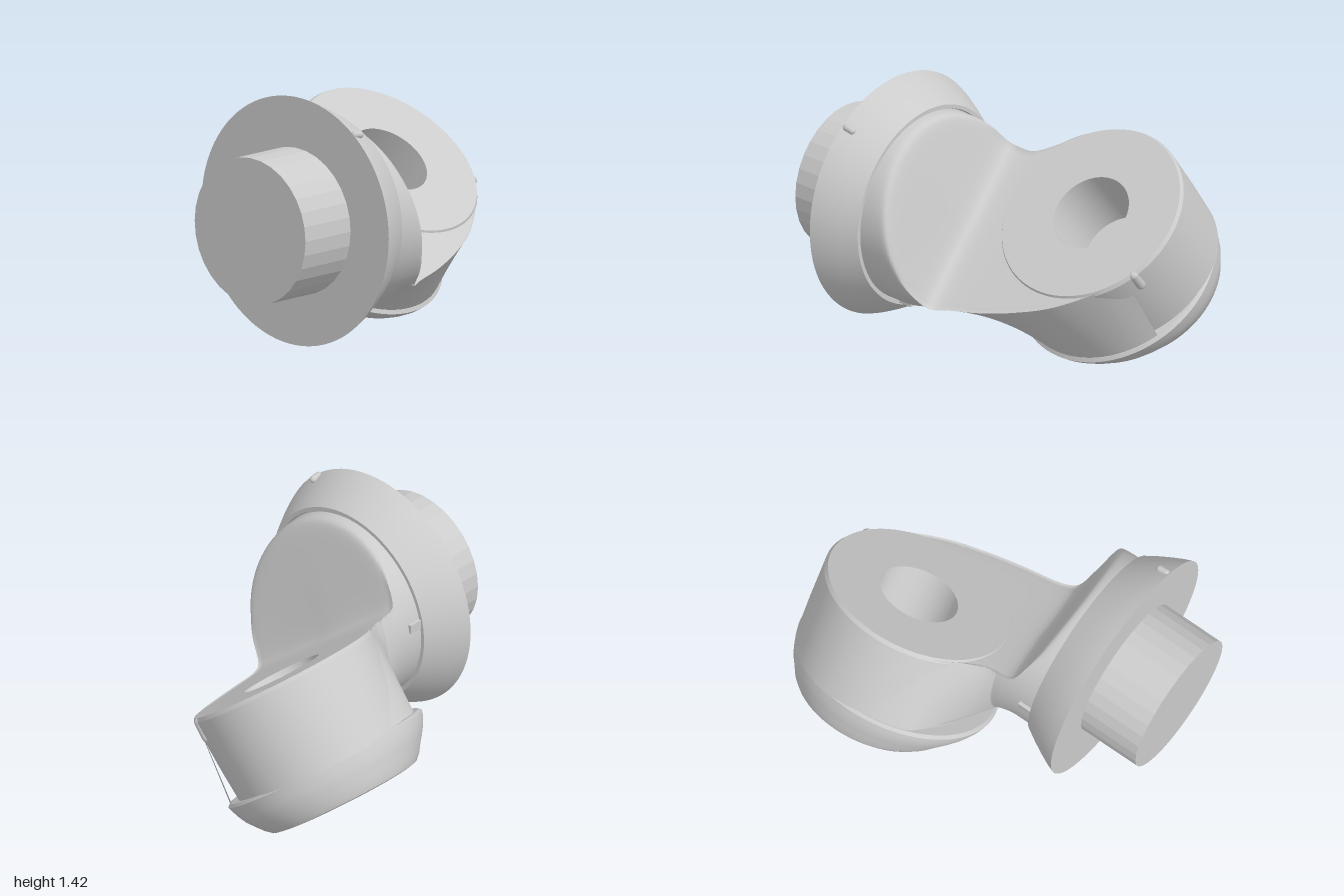
import * as THREE from 'three';
import { toCreasedNormals } from 'three/addons/utils/BufferGeometryUtils.js';

const grey = new THREE.MeshStandardMaterial({ color: 0xcccccc });
const facetGrey = new THREE.MeshStandardMaterial({ color: 0xcccccc, flatShading: true });
const TILT = 0.663;                            // lean of the eye about the x axis
const EYE = { x: 0.462, v: -0.614 };           // eye centre in the tilted frame
const PLUG = { v: -0.285, w: 0.722, r: 0.53 }; // socket axis in the tilted frame
const CAP = { x: 0.41, v: -0.552, r: 0.56 };   // top circle of the cap
const { lerp, smoothstep, clamp } = THREE.MathUtils;

function add(parent, name, geometry, material = grey) {
  const mesh = new THREE.Mesh(geometry, material);
  mesh.name = name;
  parent.add(mesh);
  return mesh;
}

// Skin closed rings: point(i, angle) returns [x, y, z]
function loft(rows, sides, point, crease) {
  const pos = [], index = [];
  for (let i = 0; i < rows; i++) {
    for (let j = 0; j < sides; j++) {
      pos.push(...point(i, (j / sides) * Math.PI * 2));
      if (i === rows - 1) continue;
      const a = i * sides + j, c = i * sides + (j + 1) % sides;
      index.push(a, a + sides, c, c, a + sides, c + sides);
    }
  }
  const g = new THREE.BufferGeometry();
  g.setAttribute('position', new THREE.Float32BufferAttribute(pos, 3));
  g.setIndex(index);
  return toCreasedNormals(g, crease);
}

function lathe(points, sides = 96) {
  const pts = points.map(([r, y]) => new THREE.Vector2(r, y));
  return toCreasedNormals(new THREE.LatheGeometry(pts, sides), 0.5);
}

// Smooth interpolation through [x, value] keys
function curve(keys, x) {
  const slope = (i) => {
    const a = keys[Math.max(i - 1, 0)], b = keys[Math.min(i + 1, keys.length - 1)];
    return (b[1] - a[1]) / (b[0] - a[0]);
  };
  let i = 0;
  while (i < keys.length - 2 && x > keys[i + 1][0]) i++;
  const [x0, y0] = keys[i], [x1, y1] = keys[i + 1];
  const d = x1 - x0, t = clamp((x - x0) / d, 0, 1), t2 = t * t, t3 = t2 * t;
  return y0 * (2 * t3 - 3 * t2 + 1) + y1 * (3 * t2 - 2 * t3)
    + d * (slope(i) * (t3 - 2 * t2 + t) + slope(i + 1) * (t3 - t2));
}

const smoothMax = (a, b, e) => 0.5 * (a + b + Math.hypot(a - b, e));
const smoothMin = (a, b, e) => 0.5 * (a + b - Math.hypot(a - b, e));

// Neck: round socket plug, cut by a slanted wall, flowing into the flat eye
const FRONT = [[-0.42, 0.245], [-0.2, 0.245], [-0.1, 0.235], [0, 0.195], [0.2, 0.14],
  [0.4, 0.065], [0.6, -0.04], [0.8, -0.21], [0.9, -0.335]];
const BACK = [[-0.42, -0.815], [-0.2, -0.815], [-0.1, -0.825], [0, -0.9], [0.1, -1.0],
  [0.2, -1.06], [0.4, -1.12], [0.6, -1.1], [0.8, -0.99], [0.9, -0.88]];

// Underside of the eye: straight sides tapering from the outline to the cap circle
function taperedSide(x, f, b, u) {
  const half = Math.sqrt(Math.max(0, CAP.r ** 2 - (x - CAP.x) ** 2));
  const front = CAP.v + half, back = CAP.v - half;
  if (u > 0.4 && u < 0.6) return [lerp(back, front, (u - 0.4) / 0.2), 0.1];
  const q = Math.min(u, 1 - u) / 0.4;
  return [u < 0.5 ? lerp(b, back, q) : lerp(f, front, q), lerp(0.6, 0.1, q)];
}

function neckGeometry() {
  const fine = 100, coarse = 50;   // closely spaced rows across the wall
  return loft(fine + coarse, 112, (i, t) => {
    const x = i < fine ? -0.42 + 0.37 * i / fine : -0.05 + 0.95 * (i - fine) / (coarse - 1);
    const f = curve(FRONT, x), b = curve(BACK, x);
    const k = smoothstep(x, -0.32, 0.12);
    const s = Math.sin(t), c = Math.cos(t), p = 1 - 0.5 * k;
    // slanted wall blended into the flat saddle; hollow beneath the eye
    const wall = (4 * (-0.03 - x) + 0.615 * ((f + b) / 2 + (f - b) / 2 * c)) / 0.788;
    let limit = smoothMax(0.597, wall, 0.14);
    let v = (f + b) / 2 + (f - b) / 2 * Math.sign(c) * Math.abs(c) ** p;
    let w = PLUG.w + PLUG.r * s;
    if (s >= 0) {
      w = smoothMin(w, limit, 0.09 * Math.min(1, 3 * s));
    } else {
      const [sv, sw] = taperedSide(x, f, b, t / Math.PI - 1);
      v = lerp((f + b) / 2 + (f - b) / 2 * c, sv, k);
      w = lerp(w, sw, k);
    }
    if (Math.hypot(x - EYE.x, v - EYE.v) < 0.42) limit = 0.13;
    return [x, Math.min(w, limit), v];
  }, 0.75);
}

// Cap under the eye: skewed tapering rings [height, centre x, centre v, radius]
function capGeometry() {
  const rings = [
    [0.105, 0.42, -0.56, 0.1], [0.105, CAP.x, CAP.v, CAP.r], [0.09, 0.41, -0.552, 0.577],
    [0.06, 0.412, -0.555, 0.568], [0.02, 0.42, -0.5625, 0.55], [-0.02, 0.43, -0.57, 0.526],
    [-0.06, 0.437, -0.58, 0.495], [-0.105, 0.445, -0.596, 0.46], [-0.132, 0.45, -0.605, 0.43],
    [-0.138, 0.45, -0.607, 0.4], [-0.128, 0.45, -0.607, 0.365], [-0.1, 0.45, -0.607, 0.345],
    [-0.07, 0.45, -0.607, 0.335], [-0.06, 0.45, -0.607, 0.0001]];
  return loft(rings.length, 96, (i, t) => {
    const [w, cx, cv, r] = rings[i];
    return [cx + r * Math.cos(t), w, cv - r * Math.sin(t)];
  }, 0.6);
}

export function createModel() {
  const model = new THREE.Group();
  model.name = 'swivelJoint';

  // Socket: shaft and flared collar along x
  const socket = new THREE.Group();
  socket.name = 'socket';
  socket.position.set(0, 0.745, 0.22);
  model.add(socket);
  const shaft = add(socket, 'shaft', new THREE.CylinderGeometry(0.4, 0.4, 0.37, 32), facetGrey);
  shaft.rotation.z = -Math.PI / 2;
  shaft.position.x = -0.815;
  const collar = add(socket, 'collar', lathe([[0, -0.645], [0.676, -0.645], [0.659, -0.6],
    [0.63, -0.54], [0.595, -0.475], [0.556, -0.41], [0.535, -0.41], [0.53, -0.43], [0, -0.43]]));
  collar.rotation.z = -Math.PI / 2;

  // Small rib on the collar rim
  const rib = add(socket, 'collarRib', new THREE.CapsuleGeometry(0.02, 0.04, 4, 12));
  rib.rotation.z = Math.PI / 2 - 0.15;
  rib.position.set(-0.603, 0.523, 0.41);

  // Little stops beside the collar face
  [[-0.475, 0.2], [0.1, -0.51]].forEach(([y, z]) => {
    const stop = add(socket, 'stop', new THREE.BoxGeometry(0.08, 0.05, 0.05));
    stop.position.set(-0.37, y, z);
  });

  // Tilted eye with neck and cap
  const arm = new THREE.Group();
  arm.name = 'tiltedArm';
  arm.rotation.x = TILT;
  model.add(arm);
  add(arm, 'neck', neckGeometry());
  add(arm, 'cap', capGeometry());
  const eye = add(arm, 'eyeWithBlindHole', lathe([[0, 0.08], [0.505, 0.08], [0.52, 0.3],
    [0.533, 0.585], [0.52, 0.606], [0.222, 0.606], [0.222, 0.2], [0, 0.2]]));
  eye.position.set(EYE.x, 0, EYE.v);

  // Index tab on the side of the eye
  const tab = add(arm, 'indexTab', new THREE.CapsuleGeometry(0.028, 0.09, 4, 12));
  tab.position.set(EYE.x + 0.46, 0.535, EYE.v + 0.235);

  return model;
}
